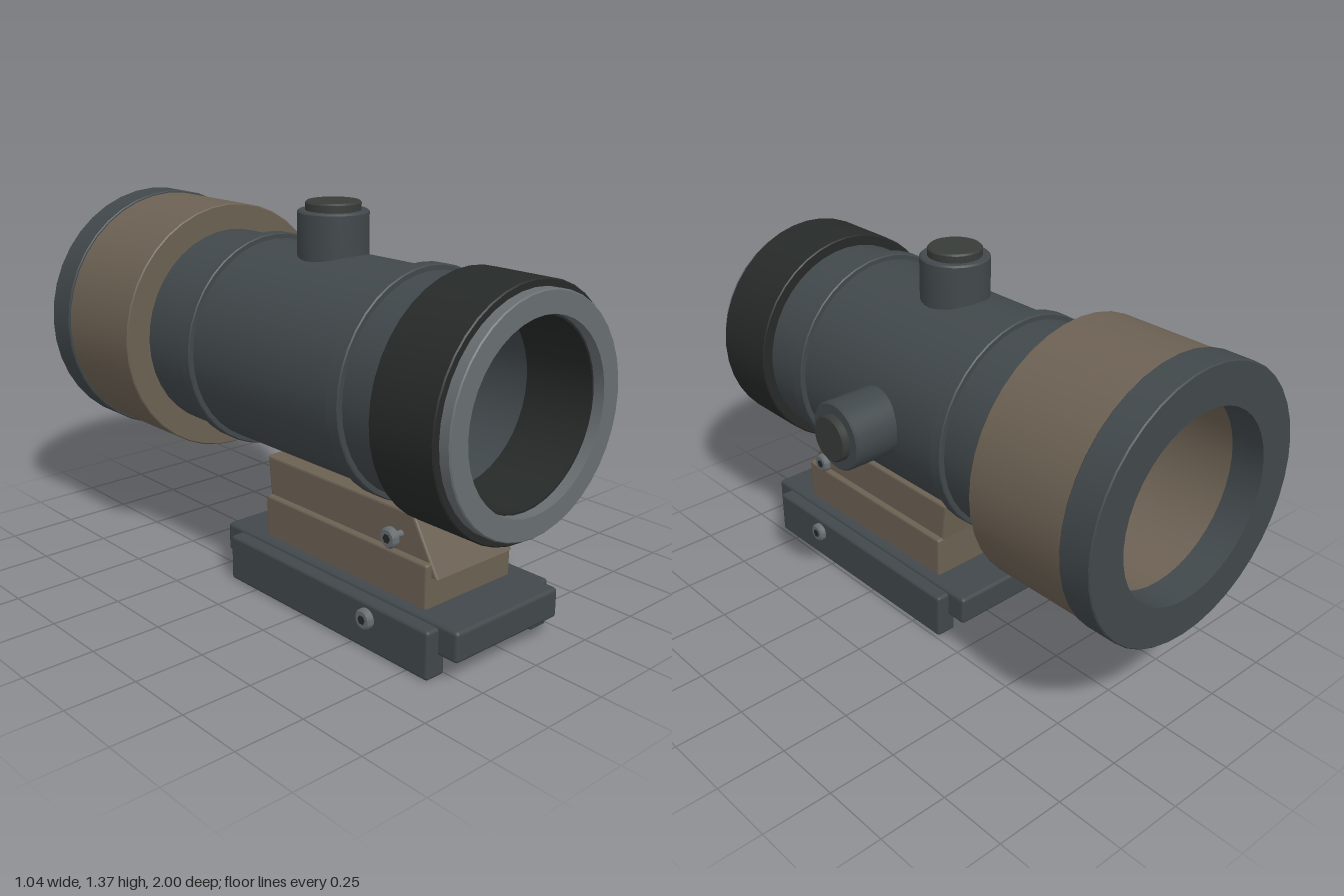
import * as THREE from 'three';
import { toCreasedNormals } from 'three/addons/utils/BufferGeometryUtils.js';
import { RoundedBoxGeometry } from 'three/addons/geometries/RoundedBoxGeometry.js';

const AX = -0.047, AY = 0.83; // axis of the sight tube

const mat = (color) => new THREE.MeshStandardMaterial({ color });

export function createModel() {
  const model = new THREE.Group();
  const grey = mat(0x41484b), light = mat(0x686e71), black = mat(0x262a28);
  const tan = mat(0x6c6153), capDark = mat(0x383c39), red = mat(0xb02020);

  function add(name, geometry, material, x = 0, y = 0, z = 0, parent = model) {
    const mesh = new THREE.Mesh(geometry, material);
    mesh.name = name;
    mesh.position.set(x, y, z);
    parent.add(mesh);
    return mesh;
  }

  // Hollow ring along z with slightly bevelled outer edges
  function ring(name, z0, z1, outer, inner, material, bevel = 0.004) {
    const profile = [
      [inner, z0], [outer - bevel, z0], [outer, z0 + bevel],
      [outer, z1 - bevel], [outer - bevel, z1], [inner, z1], [inner, z0],
    ].map(([r, z]) => new THREE.Vector2(r, z));
    const g = toCreasedNormals(new THREE.LatheGeometry(profile, 40), 0.5);
    g.rotateX(Math.PI / 2);
    return add(name, g, material, AX, AY, 0);
  }

  // Solid disc or knob along y, from y0 to y1
  function knob(name, y0, y1, r, material, parent, bevel = 0.006) {
    const profile = [[0, y0], [r, y0], [r, y1 - bevel], [r - bevel, y1], [0, y1]]
      .map(([a, b]) => new THREE.Vector2(a, b));
    return add(name, toCreasedNormals(new THREE.LatheGeometry(profile, 32), 0.5),
      material, 0, 0, 0, parent);
  }

  function box(name, x0, x1, y0, y1, z0, z1, material, r = 0.012) {
    return add(name, new RoundedBoxGeometry(x1 - x0, y1 - y0, z1 - z0, 2, r), material,
      (x0 + x1) / 2, (y0 + y1) / 2, (z0 + z1) / 2);
  }

  // Tube and its collars
  ring('mainTube', -0.5, 0.71, 0.37, 0.305, grey);
  ring('frontBand', 0.49, 0.545, 0.39, 0.33, grey);
  ring('rearBand', -0.27, -0.22, 0.39, 0.33, grey);
  ring('frontCollar', 0.7, 0.96, 0.41, 0.303, black);
  ring('frontRim', 0.95, 1, 0.385, 0.31, light);
  ring('rearBell', -0.885, -0.49, 0.465, 0.34, tan);
  ring('rearRim', -1, -0.88, 0.473, 0.33, grey);

  // Adjustment turrets on the top and the left side
  for (const [name, turn, body, top, capR] of [
    ['topTurret', 0, 0.51, 0.54, 0.095],
    ['sideTurret', -Math.PI / 2, 0.537, 0.563, 0.083],
  ]) {
    const turret = new THREE.Group();
    turret.name = name;
    turret.position.set(AX, AY, 0.09);
    turret.rotation.z = turn;
    knob('turretBody', 0.335, body, 0.122, grey, turret);
    knob('turretCap', body - 0.01, top, capR, capDark, turret);
    model.add(turret);
  }

  // Aiming chevron in the middle of the bore
  for (const s of [-1, 1]) {
    const arm = add('reticleArm', new THREE.BoxGeometry(0.032, 0.004, 0.004), red,
      AX + s * 0.011, AY - 0.007, 0);
    arm.rotation.z = -s * 0.79;
  }

  // Saddle with a sloping front, swept across x
  const side = new THREE.Shape([
    [0.765, 0.288], [0.66, 0.462], [-0.047, 0.462], [-0.033, 0.33], [-0.033, 0.288],
  ].map(([z, y]) => new THREE.Vector2(-z, y)));
  const b = 0.008, width = 0.355;
  const saddle = new THREE.ExtrudeGeometry(side, {
    depth: width - 2 * b, bevelThickness: b, bevelSize: b, bevelSegments: 2,
  });
  saddle.translate(0, 0, -width / 2 + b);
  saddle.rotateY(Math.PI / 2);
  add('saddle', saddle, tan, AX, 0, 0);
  box('saddleBase', AX - 0.2, AX + 0.2, 0.17, 0.33, -0.04, 0.75, tan, 0.01);

  // Rail clamp
  box('clampPlate', AX - 0.24, AX + 0.24, 0.073, 0.18, -0.217, 0.923, grey, 0.014);
  for (const s of [-1, 1]) {
    const x = AX + s * 0.248;
    box('clampJaw', x - 0.04, x + 0.04, 0, 0.168, -0.138, 0.845, grey, 0.012);

    // Screws: outer end, shank length, height, position along z
    for (const [name, end, shank, y, z] of [
      ['lowerScrew', 0.31, 0.03, 0.115, 0.575],
      ['upperScrew', 0.243, 0.075, 0.39, 0.615],
    ]) {
      const screw = new THREE.Group();
      screw.name = name;
      screw.position.set(AX + s * end, y, z);
      screw.rotation.z = -s * Math.PI / 2;
      knob('screwHead', -0.023, 0, 0.035, light, screw, 0.007);
      add('screwShank', new THREE.CylinderGeometry(0.012, 0.012, shank, 12), light,
        0, -0.02 - shank / 2, 0, screw);
      add('hexSocket', new THREE.CylinderGeometry(0.016, 0.016, 0.004, 6), black,
        0, 0, 0, screw);
      model.add(screw);
    }
  }

  return model;
}
